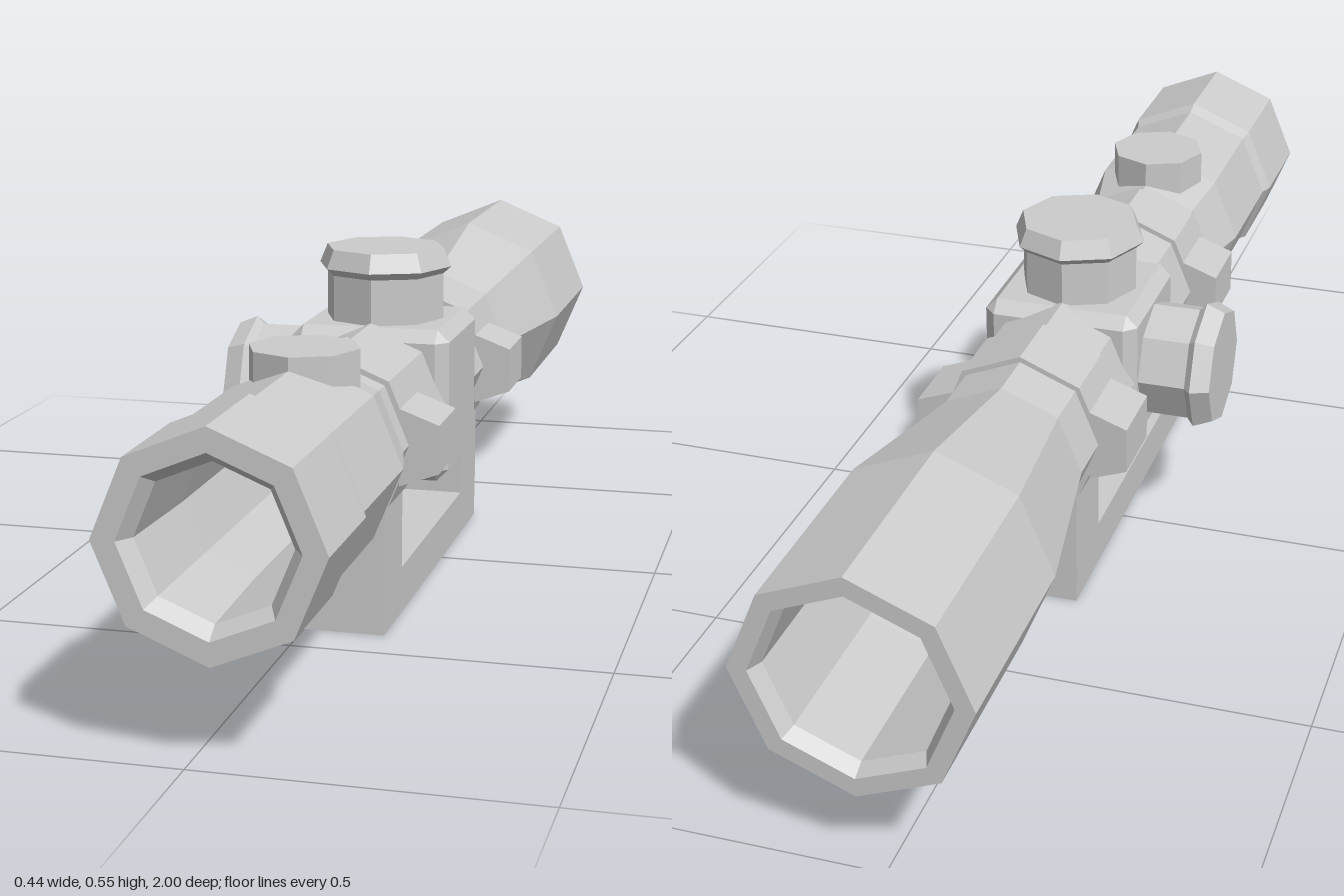
import * as THREE from 'three';
import { ConvexGeometry } from 'three/addons/geometries/ConvexGeometry.js';

const CX = 0.038, CY = 0.307; // tube axis
const TZ = 0.04;              // turret position along the tube

export function createModel() {
  const model = new THREE.Group();
  const material = new THREE.MeshStandardMaterial({ color: 0xcccccc, flatShading: true });

  function add(name, geometry, x = 0, y = 0, z = 0) {
    const mesh = new THREE.Mesh(geometry, material);
    mesh.name = name;
    mesh.position.set(x, y, z);
    model.add(mesh);
    return mesh;
  }
  // Eight-sided turned part from [radius, height] pairs
  const turned = (pairs) =>
    new THREE.LatheGeometry(pairs.map(([r, h]) => new THREE.Vector2(r, h)), 8);

  // Outline in the XY plane, extruded along z and centred on z = 0
  function slab(points, depth) {
    const shape = new THREE.Shape(points.map(([x, y]) => new THREE.Vector2(x, y)));
    return new THREE.ExtrudeGeometry(shape, { depth, bevelEnabled: false }).translate(0, 0, -depth / 2);
  }

  // Hollow main tube: outside from back to front, then the bore back again
  const tube = turned([
    [0.18, -1], [0.18, -0.66], [0.13, -0.37], [0.13, 0.455], [0.153, 0.555],
    [0.153, 0.785], [0.162, 0.81], [0.162, 1], [0.127, 1], [0.11, 0.975],
    [0.103, 0.8], [0.103, -0.37], [0.138, -0.7], [0.138, -0.975], [0.15, -1], [0.18, -1],
  ]).rotateX(Math.PI / 2);
  add('mainTube', tube, CX, CY, 0);

  // Turret housing: a box with chamfered edges
  const half = [0.133, 0.127, 0.125], bevel = 0.02, corners = [];
  for (const sx of [-1, 1]) for (const sy of [-1, 1]) for (const sz of [-1, 1]) {
    for (let face = 0; face < 3; face++) {
      const p = half.map((h, i) => (i === face ? h : h - bevel));
      corners.push(new THREE.Vector3(p[0] * sx, p[1] * sy, p[2] * sz));
    }
  }
  // Four walls around the bore: the housing is split so the tube stays open
  const housing = new ConvexGeometry(corners);
  const pos = housing.getAttribute('position');
  const kept = [];
  const a = new THREE.Vector3(), b = new THREE.Vector3(), c = new THREE.Vector3();
  for (let i = 0; i < pos.count; i += 3) {
    a.fromBufferAttribute(pos, i);
    b.fromBufferAttribute(pos, i + 1);
    c.fromBufferAttribute(pos, i + 2);
    const end = [a, b, c].every((v) => Math.abs(Math.abs(v.z) - half[2]) < 1e-4);
    if (!end) for (const v of [a, b, c]) kept.push(v.x, v.y, v.z);
  }
  const shell = new THREE.BufferGeometry();
  shell.setAttribute('position', new THREE.Float32BufferAttribute(kept, 3));
  shell.computeVertexNormals();
  add('turretHousing', shell, CX, 0.305, TZ);

  // End faces of the housing with the octagonal opening
  const w = half[0] - bevel, h = half[1] - bevel;
  for (const side of [-1, 1]) {
    // corner webs between the tube and the end of the housing
    for (const sx of [-1, 1]) for (const sy of [-1, 1]) {
      const k = 0.13 * Math.SQRT1_2;
      const outline = [[sx * w, 0], [sx * w, sy * h], [0, sy * h], [sx * (k - 0.01), sy * (k - 0.01)]];
      const web = new THREE.ShapeGeometry(new THREE.Shape(outline.map(([x, y]) => new THREE.Vector2(x, y))));
      if (side < 0) web.rotateY(Math.PI);
      add('housingEnd', web, CX, 0.305, TZ + side * half[2]);
    }
  }

  // Adjustment turrets: one on top, one on the right side
  const turret = [[0.1, 0.1], [0.1, 0.201], [0.113, 0.213], [0.1, 0.244], [0, 0.244]];
  add('topTurret', turned(turret), CX, CY, TZ);
  const sideTurret = turret.map(([r, y]) => [r, y + 0.012]);
  add('sideTurret', turned(sideTurret).rotateZ(Math.PI / 2), CX, CY, TZ);

  // Small knob over the eyepiece
  add('eyepieceKnob', new THREE.CylinderGeometry(0.085, 0.085, 0.07, 8), CX, 0.445, 0.54);

  // Mounting rings with clamp lugs on both sides
  for (const z of [0.36, -0.22]) {
    const ring = turned([
      [0.139, -0.06], [0.139, 0.06], [0.12, 0.06], [0.12, -0.06], [0.139, -0.06],
    ]).rotateX(Math.PI / 2);
    add('mountRing', ring, CX, CY, z);
    for (const s of [-1, 1]) {
      const lug = [[0.115, -0.065], [0.177, -0.042], [0.177, 0.034], [0.115, 0.057]];
      const outline = lug.map(([x, y]) => [s * x, y]);
      add('clampLug', slab(outline, 0.12), CX, CY, z);
    }
  }

  // Base: a lower bar and two posts, reaching up to the underside of the rings
  add('baseBar', new THREE.BoxGeometry(0.184, 0.075, 0.7), CX, 0.0375, 0.07);
  const k = 0.125 * Math.SQRT1_2;
  const post = [
    [-0.093, 0.035], [0.093, 0.035], [0.093, CY - k + 0.03],
    [k, CY - k], [0, CY - 0.125], [-k, CY - k], [-0.093, CY - k + 0.03],
  ];
  add('frontPost', slab(post, 0.115), CX, 0, 0.3625);
  add('rearPost', slab(post, 0.125), CX, 0, -0.2175);

  return model;
}
